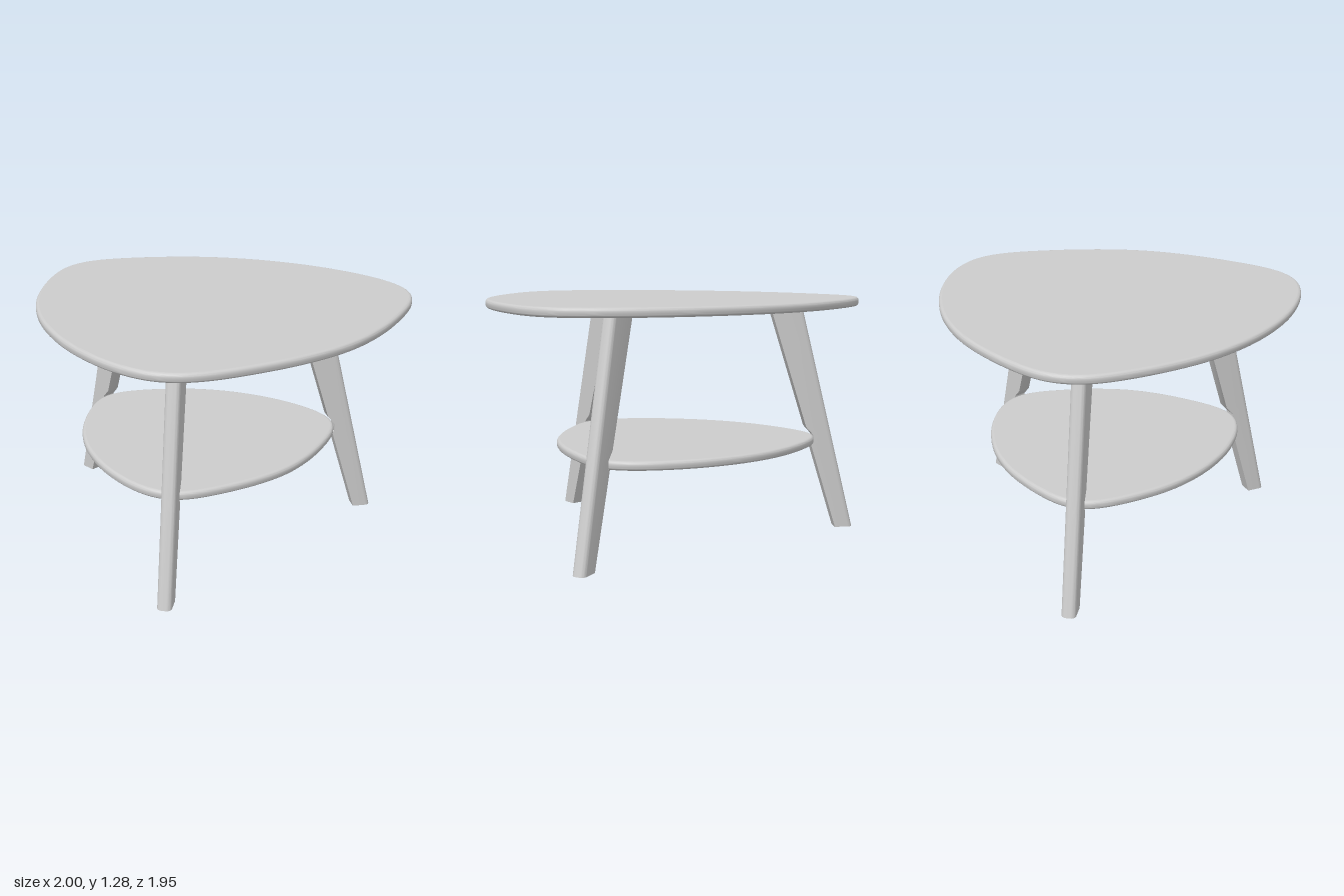
import * as THREE from 'three';
import { toCreasedNormals } from 'three/addons/utils/BufferGeometryUtils.js';

const material = new THREE.MeshStandardMaterial({ color: 0xcccccc });

// Half of the rounded-triangle outline (x, z), from the narrow tip to the broad side
const HALF = [
  [-1, 0], [-0.985, 0.1], [-0.935, 0.21], [-0.8, 0.4], [-0.61, 0.6], [-0.395, 0.755], [-0.17, 0.865],
  [0.09, 0.945], [0.39, 0.977], [0.59, 0.945], [0.71, 0.875], [0.8, 0.76], [0.89, 0.55], [0.97, 0.27], [1, 0],
];

// Flat board with softened edges, resting at height y
function board(name, scale, offsetX, y, thickness) {
  const mirrored = HALF.slice(1, -1).reverse().map(([x, z]) => [x, -z]);
  const points = [...HALF, ...mirrored].map(([x, z]) => new THREE.Vector3(x * scale + offsetX, z * scale, 0));
  const outline = new THREE.CatmullRomCurve3(points, true).getPoints(120).slice(0, -1);
  const shape = new THREE.Shape(outline.map((p) => new THREE.Vector2(p.x, p.y)));
  const bevel = 0.018;
  let geometry = new THREE.ExtrudeGeometry(shape, {
    depth: thickness - 2 * bevel, bevelEnabled: true, bevelThickness: bevel,
    bevelSize: bevel, bevelOffset: -bevel, bevelSegments: 5, curveSegments: 1,
  });
  geometry.rotateX(-Math.PI / 2).translate(0, y + bevel, 0);
  geometry = toCreasedNormals(geometry, 0.6);

  // Keep the large faces evenly flat
  const pos = geometry.attributes.position;
  const normal = geometry.attributes.normal;
  for (let i = 0; i < pos.count; i += 3) {
    for (const [level, up] of [[y, -1], [y + thickness, 1]]) {
      if ([0, 1, 2].every((k) => Math.abs(pos.getY(i + k) - level) < 1e-4)) {
        for (let k = 0; k < 3; k++) normal.setXYZ(i + k, 0, up, 0);
      }
    }
  }
  const mesh = new THREE.Mesh(geometry, material);
  mesh.name = name;
  return mesh;
}

// Splayed tapering leg along +x: rounded outer edge, notch for the shelf on the inside
function legGeometry() {
  const w = 0.037, r = 0.026, steps = 6;
  const levels = [[0, 0.9], [0.48, 0.752], [0.481, 0.766], [0.525, 0.766], [0.57, 0.725], [1.25, 0.512]];
  const rings = levels.map(([y, inner]) => {
    const outer = 1 - 0.246 * y;
    const ring = [new THREE.Vector3(inner, y, -w)];
    for (const side of [-1, 1]) {
      for (let i = 0; i <= steps; i++) {
        const a = ((side < 0 ? i - steps : i) / steps) * (Math.PI / 2);
        ring.push(new THREE.Vector3(outer - r + r * Math.cos(a), y, side * (w - r) + r * Math.sin(a)));
      }
    }
    ring.push(new THREE.Vector3(inner, y, w));
    return ring;
  });

  const tris = [];
  const n = rings[0].length;
  for (let l = 0; l < rings.length - 1; l++) {
    for (let i = 0; i < n; i++) {
      const j = (i + 1) % n;
      const [a, b, c, d] = [rings[l][i], rings[l][j], rings[l + 1][i], rings[l + 1][j]];
      tris.push(a, c, b, b, c, d);
    }
  }
  const top = rings[rings.length - 1];
  for (let i = 1; i < n - 1; i++) {
    tris.push(rings[0][0], rings[0][i], rings[0][i + 1]);
    tris.push(top[0], top[i + 1], top[i]);
  }
  return toCreasedNormals(new THREE.BufferGeometry().setFromPoints(tris), 0.45);
}

export function createModel() {
  const group = new THREE.Group();
  group.name = 'threeLeggedTable';

  group.add(board('tableTop', 1, 0, 1.238, 0.047));
  group.add(board('shelf', 0.705, -0.065, 0.479, 0.047));

  // One leg under the narrow tip, two under the broad corners
  const geometry = legGeometry();
  const splay = THREE.MathUtils.degToRad(55.3);
  for (const [name, angle, shift] of [['tipLeg', Math.PI, 0], ['frontLeg', splay, -0.008], ['backLeg', -splay, -0.008]]) {
    const leg = new THREE.Mesh(geometry, material);
    leg.name = name;
    leg.rotation.y = -angle;
    leg.position.set(Math.cos(angle) * shift, 0, Math.sin(angle) * shift);
    group.add(leg);
  }
  return group;
}
